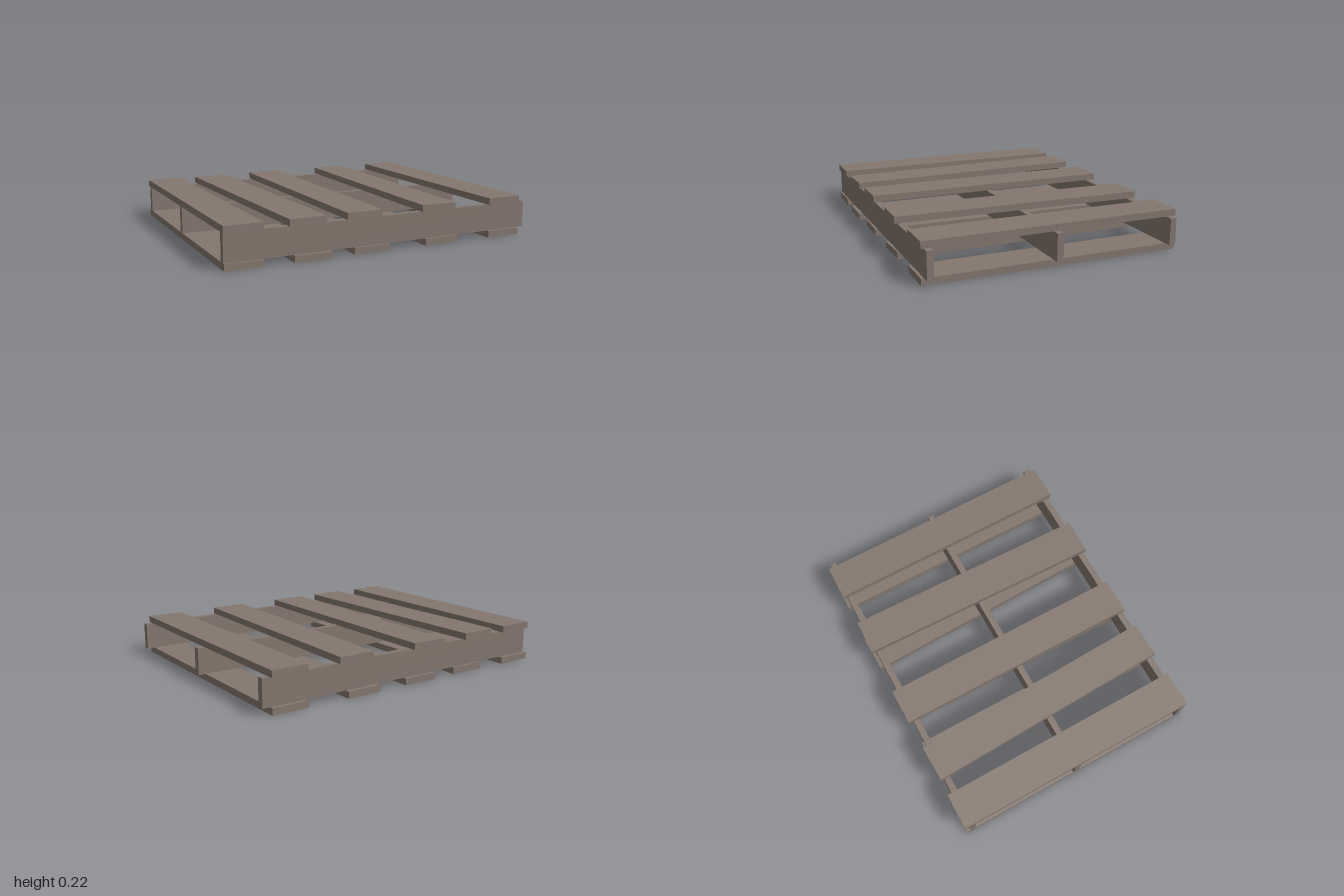
import * as THREE from 'three';

export function createModel() {
  const pallet = new THREE.Group();
  pallet.name = 'pallet';
  const wood = new THREE.MeshStandardMaterial({ color: 0x84776e });
  wood.name = 'weatheredWood';

  const plank = 0.036;   // board thickness
  const rail = 0.145;    // stringer height
  const rad = THREE.MathUtils.degToRad;

  function addBeam(name, size, x, y, z, degrees) {
    const mesh = new THREE.Mesh(new THREE.BoxGeometry(...size), wood);
    mesh.name = name;
    mesh.position.set(x, y, z);
    mesh.rotation.y = rad(degrees);
    pallet.add(mesh);
  }

  // Three upright stringers: [x, z]
  [[0.142, 0.642], [0, -0.01], [-0.137, -0.648]].forEach(([x, z], i) =>
    addBeam(`stringer${i + 1}`, [1.745, rail, 0.035], x, plank + rail / 2, z, 12.2));

  // Slightly crooked deck boards: [x, z, angle]
  const topBoards = [
    [-0.754, 0.153, 12.2], [-0.45, 0.09, 14], [-0.12, 0.013, 11.9],
    [0.322, -0.077, 10.7], [0.717, -0.16, 12.2],
  ];
  const bottomBoards = [
    [-0.754, 0.153, 12.2], [-0.402, 0.088, 11.9], [-0.075, 0.008, 11.4],
    [0.31, -0.075, 13.5], [0.717, -0.16, 12.2],
  ];
  const boardSize = [0.2, plank, 1.39];
  topBoards.forEach(([x, z, a], i) =>
    addBeam(`topBoard${i + 1}`, boardSize, x, plank * 1.5 + rail, z, a));
  bottomBoards.forEach(([x, z, a], i) =>
    addBeam(`bottomBoard${i + 1}`, boardSize, x, plank / 2, z, a));

  return pallet;
}
